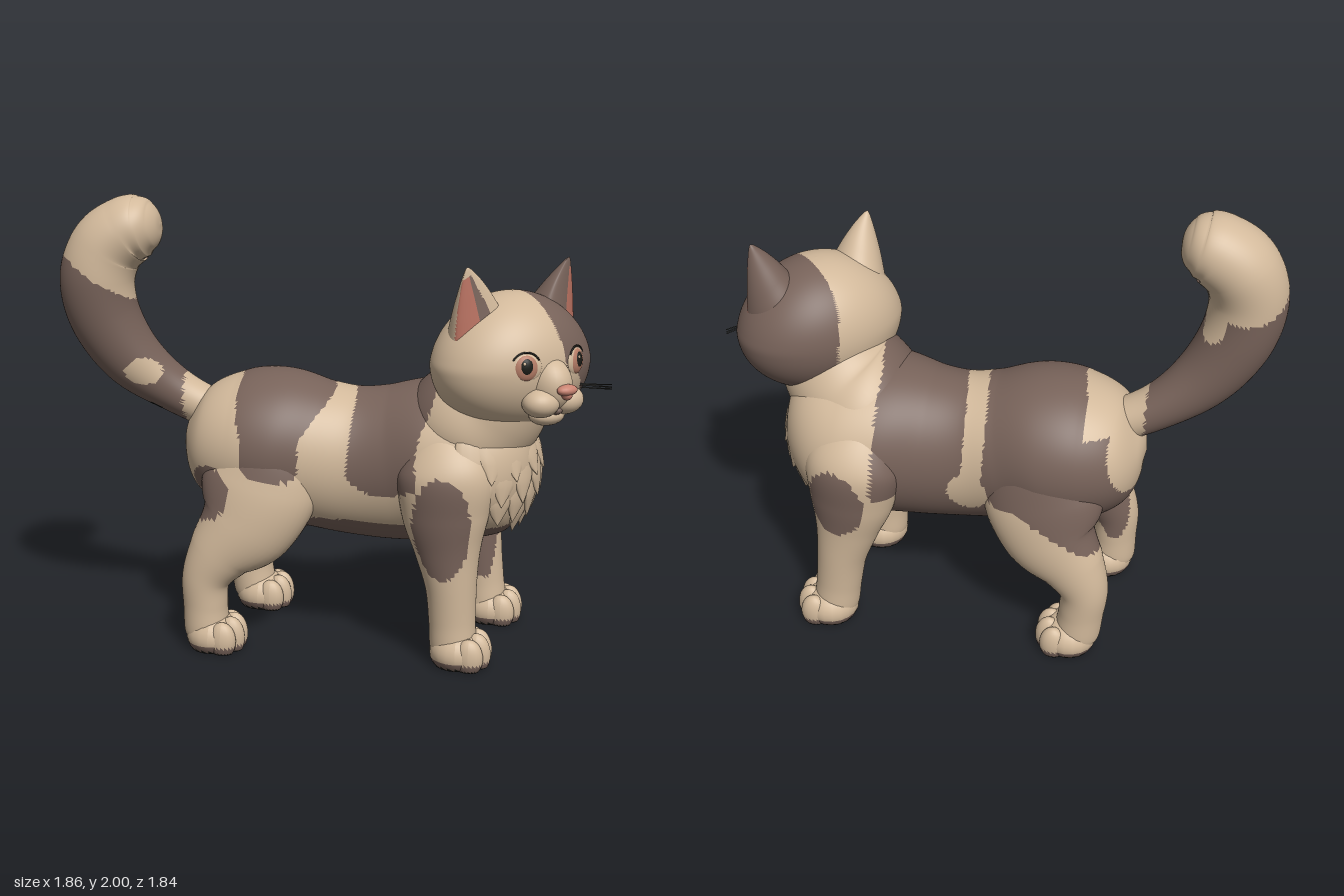
import * as THREE from 'three';

const V = (x, y, z) => new THREE.Vector3(x, y, z);
const mat = (name, color) => {
  const m = new THREE.MeshStandardMaterial({ color });
  m.name = name;
  return m;
};

// Smooth tube through stations [x, y, z, radiusA, radiusB]; radiusA lies along axis A.
function loft(stations, rings, sides, A = V(1, 0, 0)) {
  const centres = new THREE.CatmullRomCurve3(stations.map(s => V(s[0], s[1], s[2])), false, 'catmullrom', 0.5);
  const radii = new THREE.CatmullRomCurve3(stations.map(s => V(s[3], s[4], 0)), false, 'catmullrom', 0.5);
  const pos = [], index = [];
  for (let i = 0; i <= rings; i++) {
    const c = centres.getPoint(i / rings), r = radii.getPoint(i / rings);
    const B = centres.getTangent(i / rings).cross(A).normalize();
    for (let j = 0; j < sides; j++) {
      const a = j / sides * Math.PI * 2;
      const p = c.clone().addScaledVector(A, Math.max(0, r.x) * Math.cos(a)).addScaledVector(B, Math.max(0, r.y) * Math.sin(a));
      pos.push(p.x, p.y, p.z);
      if (i === rings) continue;
      const k = i * sides, n = (j + 1) % sides;
      index.push(k + j, k + n, k + sides + j, k + n, k + sides + n, k + sides + j);
    }
  }
  const g = new THREE.BufferGeometry();
  g.setAttribute('position', new THREE.Float32BufferAttribute(pos, 3));
  g.setIndex(index);
  g.computeVertexNormals();
  return g;
}

// Sorts the triangles into material groups by a rule on each triangle's centre.
function paint(g, materials, rule) {
  const buckets = materials.map(() => []), p = g.attributes.position, ix = g.index.array;
  const c = V(0, 0, 0), v = V(0, 0, 0);
  for (let i = 0; i < ix.length; i += 3) {
    c.set(0, 0, 0);
    for (let k = 0; k < 3; k++) c.add(v.fromBufferAttribute(p, ix[i + k]));
    buckets[Number(rule(c.divideScalar(3)))].push(ix[i], ix[i + 1], ix[i + 2]);
  }
  g.setIndex(buckets.flat());
  let start = 0;
  buckets.forEach((b, i) => { if (b.length) g.addGroup(start, b.length, i); start += b.length; });
  return g;
}

const within = (p, x, y, z, rx, ry = rx, rz = rx) =>
  ((p.x - x) / rx) ** 2 + ((p.y - y) / ry) ** 2 + ((p.z - z) / rz) ** 2 < 1;

// Brown coat patches of the trunk, in body coordinates (z runs along the spine).
const rumpSpot = p => within(p, -0.3, 0.72, -0.54, 0.15, 0.12, 0.13);
function coat(p) {
  const w = 0.02 * Math.sin(9 * p.x + 5 * p.y), z = p.z + w, left = p.x > 0.02;
  if (p.y < 0.59 + w) return true;
  if (within(p, 0.13, 0.96, -0.66, 0.17)) return false;
  if (rumpSpot(p)) return true;
  if (within(p, 0.3, 0.76, 0.03, 0.12, 0.1, 0.09)) return false;
  if (left && p.y < 0.7 && z < 0.42) return true;
  const low = left ? 0 : THREE.MathUtils.clamp((1.17 - p.y) / 0.2, 0, 1);
  if (z > -0.02 - 0.09 * low && z < 0.07 + 0.03 * low) return false;
  if (z >= 0.07) return z < 0.45 - 0.04 * low && (left || p.y > 0.74 + 3 * (z - 0.25) ** 2);
  if (z < -0.44 + 0.08 * low) return (left && p.x > 0.12 && p.y < 1.08) || p.y < 0.7;
  return left || p.y > 0.79 + 3 * (z + 0.22) ** 2;
}

function legCoat(p) {
  if (p.y < 0.6 && p.y > 0.24 && Math.abs(p.x) < 0.15 + 0.2 * p.y) return true;
  if (within(p, 0.4, 0.71, 0.59, 0.13, 0.17, 0.13) || within(p, -0.41, 0.64, 0.51, 0.13, 0.23, 0.13) || rumpSpot(p)) return true;
  if (p.x > 0 && p.z < 0) return p.y > 0.74 + 0.6 * Math.min(0, p.z + 0.2) && p.y > 0.56;
  return p.y > 0.74 && coat(p);
}

export function createModel() {
  const root = new THREE.Group();
  root.name = 'cat';
  const cream = mat('cream fur', 0xd2b99b), brown = mat('brown fur', 0x776259), pink = mat('ear pink', 0xb8705f);
  const nosePink = mat('nose pink', 0xc98472), iris = mat('iris', 0xb47c66), dark = mat('dark', 0x1c1c17);
  const furs = [cream, brown, dark];
  const add = (parent, name, geo, material) => {
    const m = new THREE.Mesh(geo, material);
    m.name = name;
    parent.add(m);
    return m;
  };
  const ball = (parent, name, material, x, y, z, rx, ry, rz, seg = 20) => {
    const m = add(parent, name, new THREE.SphereGeometry(1, seg, Math.round(seg * 0.7)), material);
    m.position.set(x, y, z);
    m.scale.set(rx, ry, rz);
  };

  // Body stands diagonally; everything below the head is built along its own spine
  const body = new THREE.Group();
  body.name = 'body';
  body.rotation.y = Math.PI / 4;
  body.position.set(0.085, 0, -0.085);
  root.add(body);
  add(body, 'trunk', paint(loft([
    [0, 0.9, -0.705, 0, 0], [0, 0.9, -0.68, 0.13, 0.12], [0, 0.895, -0.6, 0.26, 0.245], [0, 0.89, -0.45, 0.335, 0.32],
    [0, 0.885, -0.28, 0.355, 0.348], [0, 0.85, -0.1, 0.315, 0.335], [0, 0.825, 0.07, 0.29, 0.337], [0, 0.825, 0.25, 0.31, 0.35],
    [0, 0.85, 0.45, 0.365, 0.365], [0, 0.86, 0.62, 0.37, 0.35], [0, 0.87, 0.76, 0.31, 0.31], [0, 0.87, 0.86, 0.18, 0.19],
    [0, 0.87, 0.89, 0, 0]], 140, 110), furs, coat), furs);
  add(body, 'neck', paint(loft([
    [0, 0.85, 0.45, 0.25, 0.25], [-0.02, 1, 0.56, 0.32, 0.28], [-0.055, 1.12, 0.67, 0.28, 0.26],
    [-0.09, 1.25, 0.74, 0.24, 0.23]], 40, 64), furs, coat), furs);

  // Legs and paws
  const foreLeg = [[0.2, 1.08, 0.5, 0, 0], [0.225, 1.02, 0.5, 0.1, 0.12], [0.275, 0.87, 0.52, 0.152, 0.21],
    [0.285, 0.68, 0.53, 0.14, 0.19], [0.288, 0.52, 0.55, 0.12, 0.145], [0.29, 0.36, 0.575, 0.108, 0.113],
    [0.29, 0.2, 0.59, 0.1, 0.103], [0.29, 0.08, 0.6, 0.1, 0.1], [0.29, 0.03, 0.6, 0.07, 0.07]];
  const hindLeg = [[0.16, 1.06, -0.28, 0, 0], [0.18, 0.97, -0.28, 0.13, 0.17], [0.225, 0.77, -0.3, 0.15, 0.26],
    [0.255, 0.59, -0.35, 0.145, 0.225], [0.285, 0.45, -0.46, 0.12, 0.15], [0.295, 0.33, -0.52, 0.105, 0.11],
    [0.295, 0.2, -0.52, 0.1, 0.1], [0.295, 0.08, -0.51, 0.1, 0.1], [0.295, 0.03, -0.51, 0.07, 0.07]];
  const sole = p => p.y < 0.01 ? 2 : p.y < 0.036;
  for (const [name, leg, pawZ] of [['fore', foreLeg, 0.63], ['hind', hindLeg, -0.47]]) {
    for (const s of [1, -1]) {
      const side = s > 0 ? 'Left' : 'Right';
      const path = leg.map(([x, y, z, a, b]) => [s * x, y, z + s * 0.045 * Math.max(0, 1 - y), a, b]);
      add(body, name + side + 'Leg', paint(loft(path, 70, 44), furs, legCoat), furs);
      const paw = new THREE.Group();
      paw.name = name + side + 'Paw';
      paw.position.set(s * 0.295, 0, pawZ + s * 0.043);
      body.add(paw);
      // Each lump is a sphere cut flat at the ground
      const lump = (part, x, z, rx, ry, rz) => {
        const g = new THREE.SphereGeometry(1, 20, 16).scale(rx, ry, rz).translate(x, 0.062, z);
        const p = g.attributes.position;
        for (let i = 0; i < p.count; i++) p.setY(i, Math.max(0.003, p.getY(i)));
        g.computeVertexNormals();
        add(paw, part, paint(g, furs, sole), furs);
      };
      lump('foot', 0, -0.005, 0.13, 0.105, 0.125);
      [-0.084, -0.03, 0.03, 0.084].forEach((x, i) =>
        lump('toe', x, i % 3 ? 0.08 : 0.052, 0.044, i % 3 ? 0.095 : 0.085, 0.062));
    }
  }

  // Chest ruff made of flat overlapping tufts
  const ruff = new THREE.Group();
  ruff.name = 'ruff';
  body.add(ruff);
  const tuft = loft([[0, 0.05, -0.03, 0, 0], [0, 0, -0.008, 0.055, 0.018], [0, -0.08, 0.002, 0.066, 0.02],
    [0, -0.14, 0.006, 0.04, 0.014], [0, -0.2, 0.012, 0, 0]], 14, 12);
  [[1.02, 1.2, 9], [0.92, 1.05, 8], [0.83, 0.8, 6], [0.76, 0.35, 3]].forEach(([y, spread, count]) => {
    const h = (y - 0.87) / 0.36, r = Math.sqrt(1 - h * h);
    for (let i = 0; i < count; i++) {
      const a = (i / (count - 1) * 2 - 1) * spread - 0.08;
      const m = add(ruff, 'tuft', tuft, cream);
      m.position.set(-0.01 + 0.36 * r * Math.sin(a), y, 0.52 + 0.368 * r * Math.cos(a));
      m.rotation.set(-Math.asin(h) * 0.8 + 0.08, a, 0.15 * Math.sin(i * 5), 'YXZ');
    }
  });

  // Tail
  const tailCoat = p => {
    if (within(p, -0.547, 1.05, -0.645, 0.065, 0.05, 0.065)) return 2;
    if (within(p, -0.65, 1.23, -0.55, 0.09, 0.06, 0.09) || within(p, -0.6, 1.57, -0.74, 0.07, 0.12, 0.07)) return 0;
    if (within(p, -0.58, 1.74, -0.68, 0.05, 0.035, 0.045)) return 1;
    return p.x + p.z < -0.98 && p.y < 1.62 - 0.5 * (p.x + 0.75) + 0.04 * Math.sin(14 * p.z);
  };
  add(root, 'tail', paint(loft([[-0.25, 0.98, -0.42, 0.09, 0.09], [-0.45, 1.105, -0.58, 0.105, 0.1], [-0.62, 1.255, -0.68, 0.135, 0.135],
    [-0.725, 1.44, -0.74, 0.158, 0.157], [-0.76, 1.62, -0.755, 0.17, 0.165], [-0.72, 1.765, -0.735, 0.175, 0.163],
    [-0.645, 1.845, -0.675, 0.165, 0.153], [-0.595, 1.865, -0.63, 0.145, 0.135], [-0.56, 1.872, -0.598, 0.105, 0.1],
    [-0.54, 1.876, -0.58, 0.056, 0.055], [-0.534, 1.877, -0.574, 0, 0]],
  100, 56, V(Math.SQRT1_2, 0, -Math.SQRT1_2)), furs, tailCoat), furs);

  // Head
  const head = new THREE.Group();
  head.name = 'head';
  root.add(head);
  const cx = 0.555, skull = [];
  for (let i = 0; i <= 24; i++) {
    const a = (i / 24 - 0.5) * Math.PI, k = Math.cos(a), s = Math.sin(a);
    skull.push([cx, 1.33 + 0.3 * s, 0.525, 0.378 * k * (1 - 0.13 * Math.max(0, s)), 0.288 * k]);
  }
  const headCoat = p => p.y < 1.085 ||
    (p.x > 0.605 + 0.02 * Math.sin(11 * p.y) && !within(p, 0.585, 1.21, 0.82, 0.17, 0.125, 0.2));
  add(head, 'skull', paint(loft(skull, 110, 120), furs, headCoat), furs);
  ball(head, 'bridge', cream, cx, 1.265, 0.765, 0.095, 0.12, 0.115, 28);
  ball(head, 'chin', cream, cx, 1.135, 0.765, 0.085, 0.045, 0.065);
  ball(head, 'nose', nosePink, cx, 1.262, 0.886, 0.05, 0.024, 0.032);
  ball(head, 'noseTip', nosePink, cx, 1.243, 0.885, 0.022, 0.024, 0.026);
  ball(head, 'mouth', brown, cx, 1.165, 0.815, 0.03, 0.02, 0.035);

  for (const s of [-1, 1]) {
    const side = s > 0 ? 'left' : 'right';
    ball(head, side + 'Muzzle', cream, cx + s * 0.066, 1.2, 0.8, 0.084, 0.062, 0.075, 28);

    // Eye
    const eye = new THREE.Group();
    eye.name = side + 'Eye';
    eye.position.set(cx + s * 0.136, 1.352, 0.778);
    eye.rotation.set(-0.05, s * 0.38, 0, 'YXZ');
    head.add(eye);
    ball(eye, 'eyeball', cream, 0, 0, 0, 0.072, 0.06, 0.02);
    ball(eye, 'iris', iris, 0, 0, 0.006, 0.054, 0.054, 0.02);
    ball(eye, 'pupil', dark, 0, 0.005, 0.013, 0.032, 0.038, 0.017);
    ball(eye, 'glint', cream, -0.012, 0.02, 0.026, 0.007, 0.007, 0.005, 10);
    const lid = add(eye, 'upperLid', new THREE.TorusGeometry(0.065, 0.004, 8, 24, 2.1), dark);
    lid.rotation.z = 0.52;
    lid.position.z = 0.008;

    // Ear on a sloping base, with a flattened inner face
    const g = loft([[-0.1, 0.15, 0.16], [-0.02, 0.14, 0.15], [0.08, 0.105, 0.1], [0.16, 0.068, 0.06],
      [0.22, 0.034, 0.03], [0.25, 0.014, 0.014], [0.262, 0, 0]].map(([y, a, b]) =>
      [s * 0.21 * y, y, 0.13 * Math.max(0, y), a, b]), 40, 48, V(0.8, -s * 0.6, 0));
    const p = g.attributes.position;
    for (let i = 0; i < p.count; i++) {
      const z = p.getZ(i);
      if (z > 0.03) p.setZ(i, 0.03 + (z - 0.03) * 0.3);
    }
    g.computeVertexNormals();
    const inner = q => {
      const across = (s * q.x - 0.21 * q.y) / 0.926, up = q.y + 0.6 * across;
      const w = 0.14 - 0.5 * Math.max(0, up + 0.02);
      if (q.z < 0.028 || up > 0.225 || across < -0.6 * w) return 0;
      return across > -0.1 * w ? 1 : 2;
    };
    const earColours = [s > 0 ? brown : cream, pink, brown];
    const ear = add(head, side + 'Ear', paint(g, earColours, inner), earColours);
    ear.position.set(cx + s * 0.222, 1.493, 0.548);
    ear.rotation.y = s * 0.25;
  }

  // Whiskers on the left cheek
  [[1.245, 1.232], [1.24, 1.22], [1.23, 1.212]].forEach(([y0, y1]) => {
    const curve = new THREE.QuadraticBezierCurve3(V(0.74, y0, 0.765), V(0.8, y0 - 0.005, 0.81), V(0.88, y1, 0.81));
    add(head, 'whisker', new THREE.TubeGeometry(curve, 10, 0.0028, 6), dark);
  });
  return root;
}
